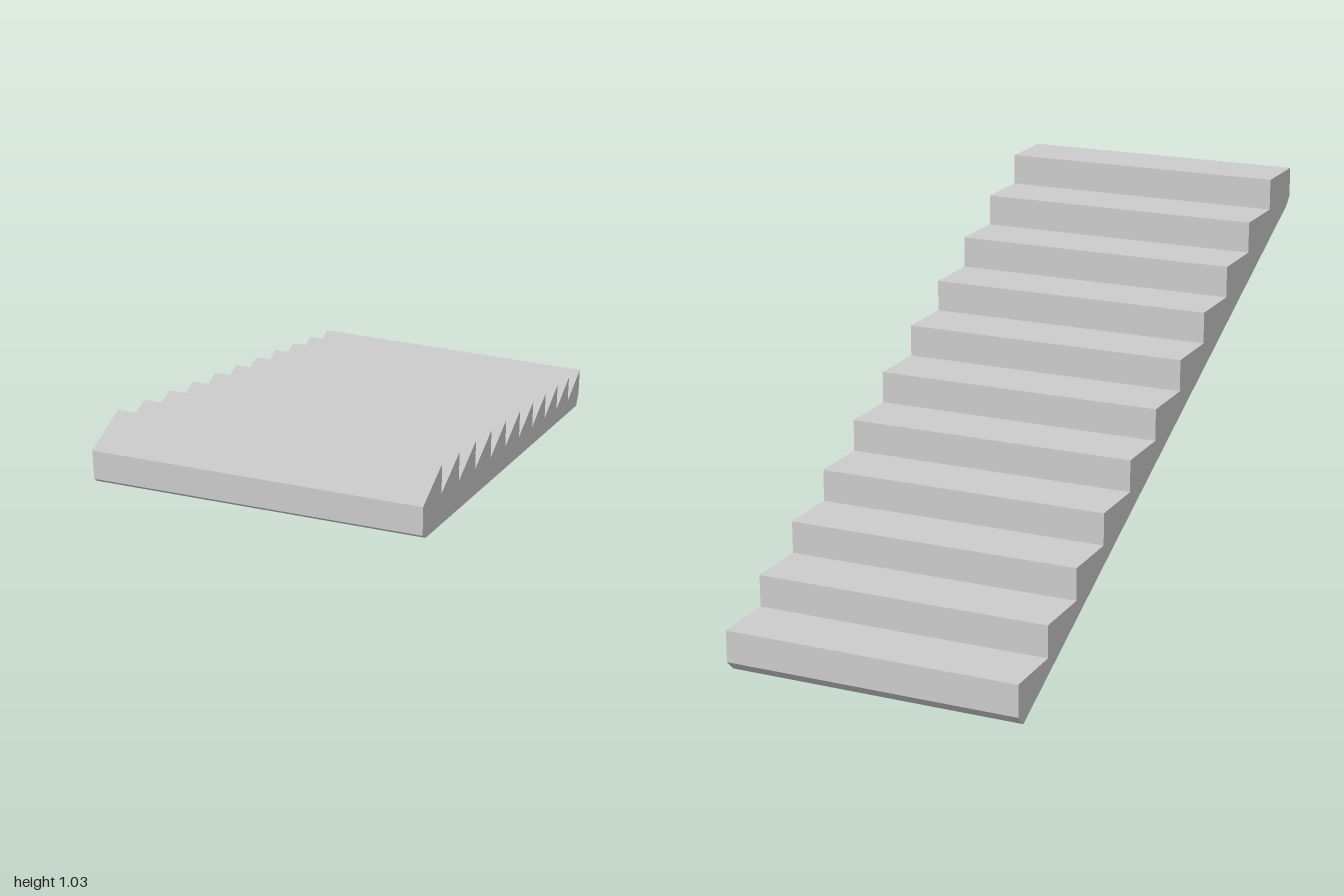
import * as THREE from 'three';

const WIDTH = 0.845;
const STEPS = 11;
const RUN = 2 / STEPS;
const RISE = 0.091;
const TOP = 1.03;

export function createModel() {
  const model = new THREE.Group();
  model.name = 'staircase';
  const concrete = new THREE.MeshStandardMaterial({ color: 0xcccccc });
  concrete.name = 'light grey concrete';

  // Side profile: shape x runs along the flight (becomes z), shape y is height
  const profile = new THREE.Shape();
  profile.moveTo(-0.97, 0);
  // Sloping underside, rounded into the upper end
  profile.lineTo(0.96, 0.91);
  profile.quadraticCurveTo(0.982, 0.92, 1, 0.943);
  // Treads and risers, from the top step down
  profile.lineTo(1, TOP);
  for (let i = 1; i <= STEPS; i++) {
    const z = 1 - i * RUN;
    profile.lineTo(z, TOP - (i - 1) * RISE);
    if (i < STEPS) profile.lineTo(z, TOP - i * RISE);
  }
  // Lower end with a chamfered foot
  profile.lineTo(-1, 0.03);
  profile.closePath();

  const geometry = new THREE.ExtrudeGeometry(profile, {
    depth: WIDTH, bevelEnabled: false, curveSegments: 8,
  });
  geometry.rotateY(-Math.PI / 2);
  geometry.translate(WIDTH / 2, 0, 0);

  const stairs = new THREE.Mesh(geometry, concrete);
  stairs.name = 'stairFlight';
  model.add(stairs);
  return model;
}
